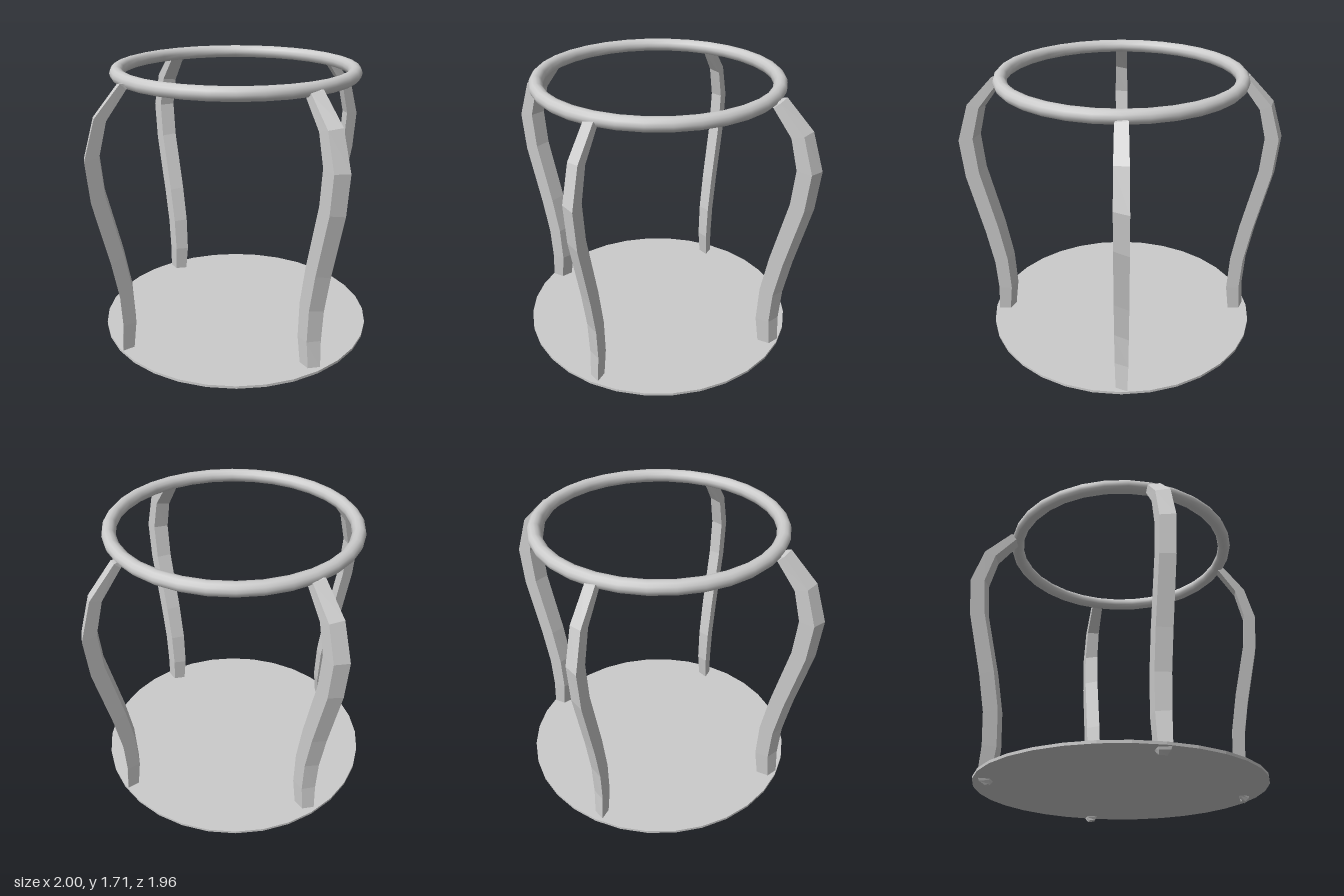
import * as THREE from 'three';

const grey = new THREE.MeshStandardMaterial({ color: 0xcccccc });
const faceted = new THREE.MeshStandardMaterial({ color: 0xcccccc, flatShading: true });

// Leg stations, top to bottom: outer radius, outer y, inner radius, inner y, half width
const STATIONS = [
  [0.745, 1.67, 0.70, 1.64, 0.028],
  [0.765, 1.672, 0.715, 1.625, 0.036],
  [0.927, 1.505, 0.83, 1.475, 0.04],
  [1.0, 1.28, 0.877, 1.295, 0.042],
  [0.98, 1.04, 0.86, 1.08, 0.042],
  [0.89, 0.65, 0.77, 0.69, 0.042],
  [0.848, 0.42, 0.728, 0.45, 0.041],
  [0.837, 0.22, 0.718, 0.22, 0.039],
  [0.848, 0.05, 0.742, 0.045, 0.034],
  [0.835, 0.02, 0.755, 0.03, 0.028],
  [0.80, 0.0, 0.77, 0.01, 0.02],
];

// Slanted four-cornered section swept along the stations, capped at both ends
function legGeometry() {
  const skew = 0.29;
  const rings = STATIONS.map(([ro, yo, ri, yi, w]) => {
    const at = (t, z) => [ro + (ri - ro) * t, yo + (yi - yo) * t, z];
    return [at(0, -w), at(skew, w), at(1, w), at(1 - skew, -w)];
  });
  const pos = [];
  const quad = (a, b, c, d) => pos.push(...a, ...b, ...c, ...a, ...c, ...d);
  for (let i = 0; i < rings.length - 1; i++) {
    const top = rings[i], low = rings[i + 1];
    for (let k = 0; k < 4; k++) {
      const n = (k + 1) % 4;
      quad(top[n], low[n], low[k], top[k]);
    }
  }
  const first = rings[0], last = rings[rings.length - 1];
  quad(first[0], first[3], first[2], first[1]);
  quad(last[0], last[1], last[2], last[3]);
  const g = new THREE.BufferGeometry();
  g.setAttribute('position', new THREE.Float32BufferAttribute(pos, 3));
  g.computeVertexNormals();
  return g;
}

export function createModel() {
  const model = new THREE.Group();
  model.name = 'stoolFrame';

  // Round rim at the top
  const rim = new THREE.Mesh(new THREE.TorusGeometry(0.7, 0.04, 12, 32), grey);
  rim.name = 'topRing';
  rim.rotation.x = Math.PI / 2;
  rim.position.y = 1.67;
  model.add(rim);

  // Thin disc near the ground
  const disc = new THREE.Mesh(new THREE.CylinderGeometry(0.855, 0.855, 0.016, 32), faceted);
  disc.name = 'basePlate';
  disc.position.y = 0.043;
  model.add(disc);

  // Four curved legs around the axis
  const geometry = legGeometry();
  ['leftLeg', 'backLeg', 'rightLeg', 'frontLeg'].forEach((name, i) => {
    const leg = new THREE.Mesh(geometry, faceted);
    leg.name = name;
    leg.rotation.y = (i * Math.PI) / 2;
    if (i % 2) leg.scale.x = 0.98;
    model.add(leg);
  });

  return model;
}
